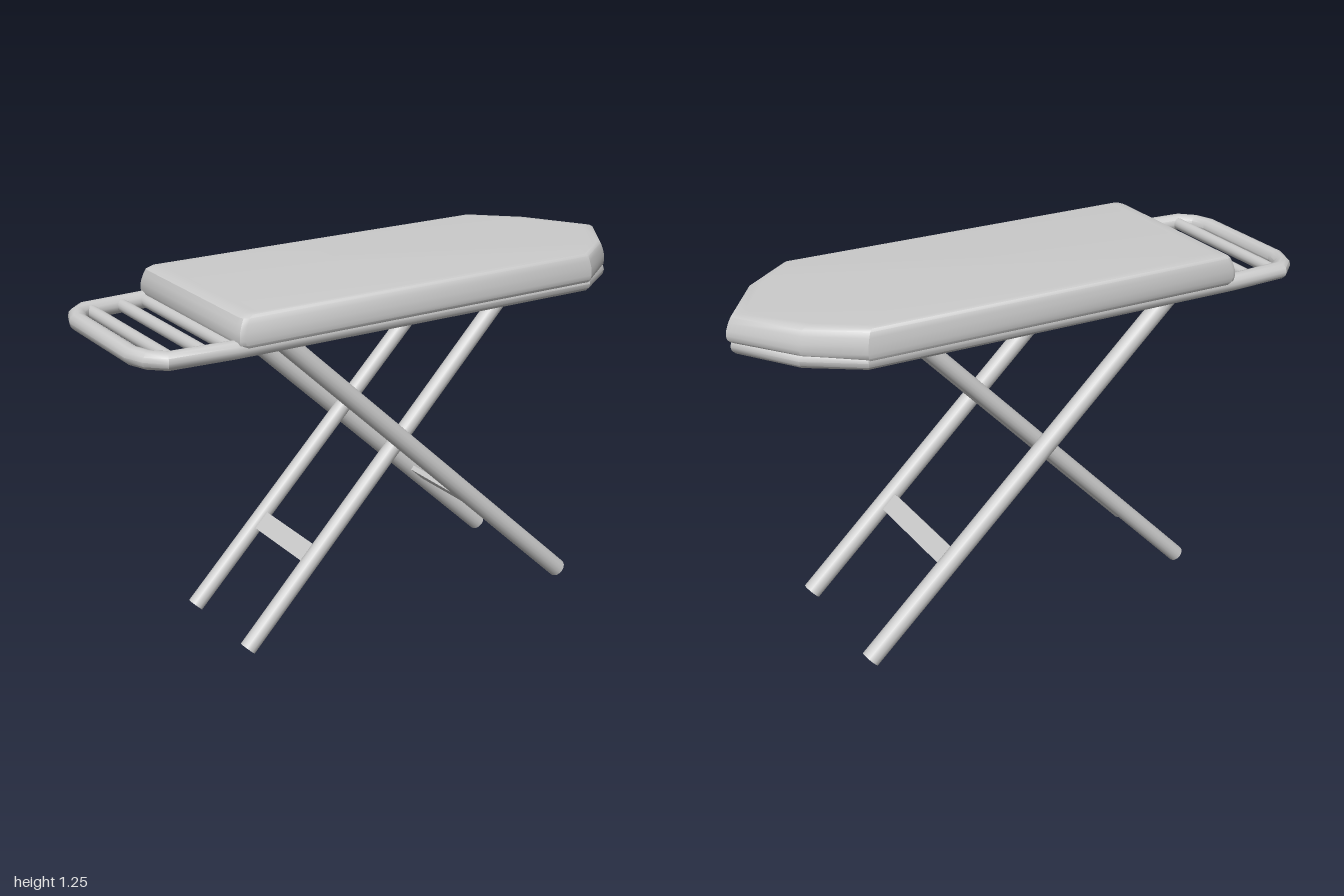
import * as THREE from 'three';
import { toCreasedNormals } from 'three/addons/utils/BufferGeometryUtils.js';

const material = new THREE.MeshStandardMaterial({ color: 0xcccccc });
const openMaterial = new THREE.MeshStandardMaterial({ color: 0xcccccc, side: THREE.DoubleSide });

// Skin a list of equal-length rings; either closed into a loop or capped at both ends
function loft(rings, loop) {
  const n = rings[0].length, m = rings.length;
  const pos = rings.flat().flatMap((p) => [p.x, p.y, p.z]);
  const idx = [];
  for (let i = 0; i < (loop ? m : m - 1); i++) {
    for (let j = 0; j < n; j++) {
      const a = i * n + j, b = i * n + (j + 1) % n;
      const c = ((i + 1) % m) * n + j, d = ((i + 1) % m) * n + (j + 1) % n;
      idx.push(a, c, b, b, c, d);
    }
  }
  if (!loop) {
    for (let j = 1; j < n - 1; j++) {
      const t = (m - 1) * n;
      idx.push(0, j, j + 1, t, t + j + 1, t + j);
    }
  }
  const g = new THREE.BufferGeometry();
  g.setAttribute('position', new THREE.Float32BufferAttribute(pos, 3));
  g.setIndex(idx);
  return toCreasedNormals(g, 0.62);
}

// Complete a half outline (z >= 0, from the square end to the tip) by mirroring
function mirrorOutline(half) {
  const other = half.slice(0, -1).reverse().map(([x, z]) => [x, -z]);
  return [...half, ...other].map(([x, z]) => new THREE.Vector2(x, z));
}

// The board dips slightly towards its pointed tip
const tipDrop = (x) => 0.01 * Math.max(0, (x - 0.68) / 0.32);

// Round tube with mitred corners along a closed horizontal outline
function mitredLoop(outline, y, r, sides = 12) {
  const n = outline.length;
  const rings = outline.map((p, i) => {
    const d1 = p.clone().sub(outline[(i + n - 1) % n]).normalize();
    const d2 = outline[(i + 1) % n].clone().sub(p).normalize();
    const dir = d1.clone().add(d2).normalize();
    const stretch = 1 / dir.dot(d1);
    return Array.from({ length: sides }, (_, k) => {
      const a = (k / sides) * Math.PI * 2;
      const w = Math.cos(a) * r * stretch;
      return new THREE.Vector3(p.x - dir.y * w, y - tipDrop(p.x) + Math.sin(a) * r, p.y + dir.x * w);
    });
  });
  return loft(rings, true);
}

// Straight open-ended round tube between two points
function bar(name, a, b, r) {
  const from = new THREE.Vector3(...a), to = new THREE.Vector3(...b);
  const dir = to.clone().sub(from);
  const mesh = new THREE.Mesh(new THREE.CylinderGeometry(r, r, dir.length(), 16, 1, true), openMaterial);
  mesh.name = name;
  mesh.position.copy(from).add(to).multiplyScalar(0.5);
  mesh.quaternion.setFromUnitVectors(new THREE.Vector3(0, 1, 0), dir.normalize());
  return mesh;
}

// Flat plate between a pair of legs, lying along their slope
function crossPlate(name, x, y, width, slope) {
  const mesh = new THREE.Mesh(new THREE.BoxGeometry(0.07, 0.018, width), material);
  mesh.name = name;
  mesh.position.set(x, y, 0);
  mesh.rotation.z = slope;
  return mesh;
}

export function createModel() {
  const model = new THREE.Group();
  model.name = 'ironingBoard';

  // Padded top: the outline stacked at several heights, narrowing at the rims
  const padOutline = mirrorOutline([
    [-0.69, 0.325], [-0.684, 0.343], [-0.668, 0.352], [0.68, 0.353], [0.85, 0.222], [1, 0],
  ]).reverse();
  const levels = [
    [1.155, 0.985], [1.165, 0.998], [1.18, 1.002], [1.205, 1], [1.23, 0.99], [1.248, 0.979], [1.256, 0.96], [1.258, 0.92],
  ];
  const padRings = levels.map(([y, s]) => padOutline.map((p) => {
    const drop = y > 1.2 ? tipDrop(p.x) : 0;
    return new THREE.Vector3(0.155 + (p.x - 0.155) * s, y - drop, p.y * s);
  }));
  const pad = new THREE.Mesh(loft(padRings, false), material);
  pad.name = 'paddedTop';
  model.add(pad);

  // Tubular frame running round the pad and out to the iron rest
  const frameOutline = mirrorOutline([
    [-0.972, 0.2], [-0.95, 0.262], [-0.905, 0.304], [-0.69, 0.318],
    [0.67, 0.32], [0.83, 0.202], [0.955, 0],
  ]);
  const frame = new THREE.Mesh(mitredLoop(frameOutline, 1.149, 0.03), material);
  frame.name = 'frameTube';
  model.add(frame);

  // Cross rods of the iron rest
  const rest = new THREE.Group();
  rest.name = 'ironRest';
  for (const x of [-0.89, -0.778, -0.69]) {
    rest.add(bar('restRod', [x, 1.149, -0.31], [x, 1.149, 0.31], 0.021));
  }
  model.add(rest);

  // Crossed legs: a wide outer pair and a narrow inner pair
  const outer = new THREE.Group(), inner = new THREE.Group();
  outer.name = 'outerLegs';
  inner.name = 'innerLegs';
  for (const s of [1, -1]) {
    outer.add(bar('outerLeg', [-0.53, 1.165, s * 0.252], [0.674, 0.027, s * 0.25], 0.033));
    inner.add(bar('innerLeg', [0.486, 1.165, s * 0.178], [-0.609, 0.042, s * 0.19], 0.029));
  }
  outer.add(crossPlate('outerCrossbar', 0.364, 0.32, 0.44, -0.757));
  inner.add(crossPlate('innerCrossbar', -0.345, 0.312, 0.34, 0.798));
  model.add(outer, inner);

  return model;
}
